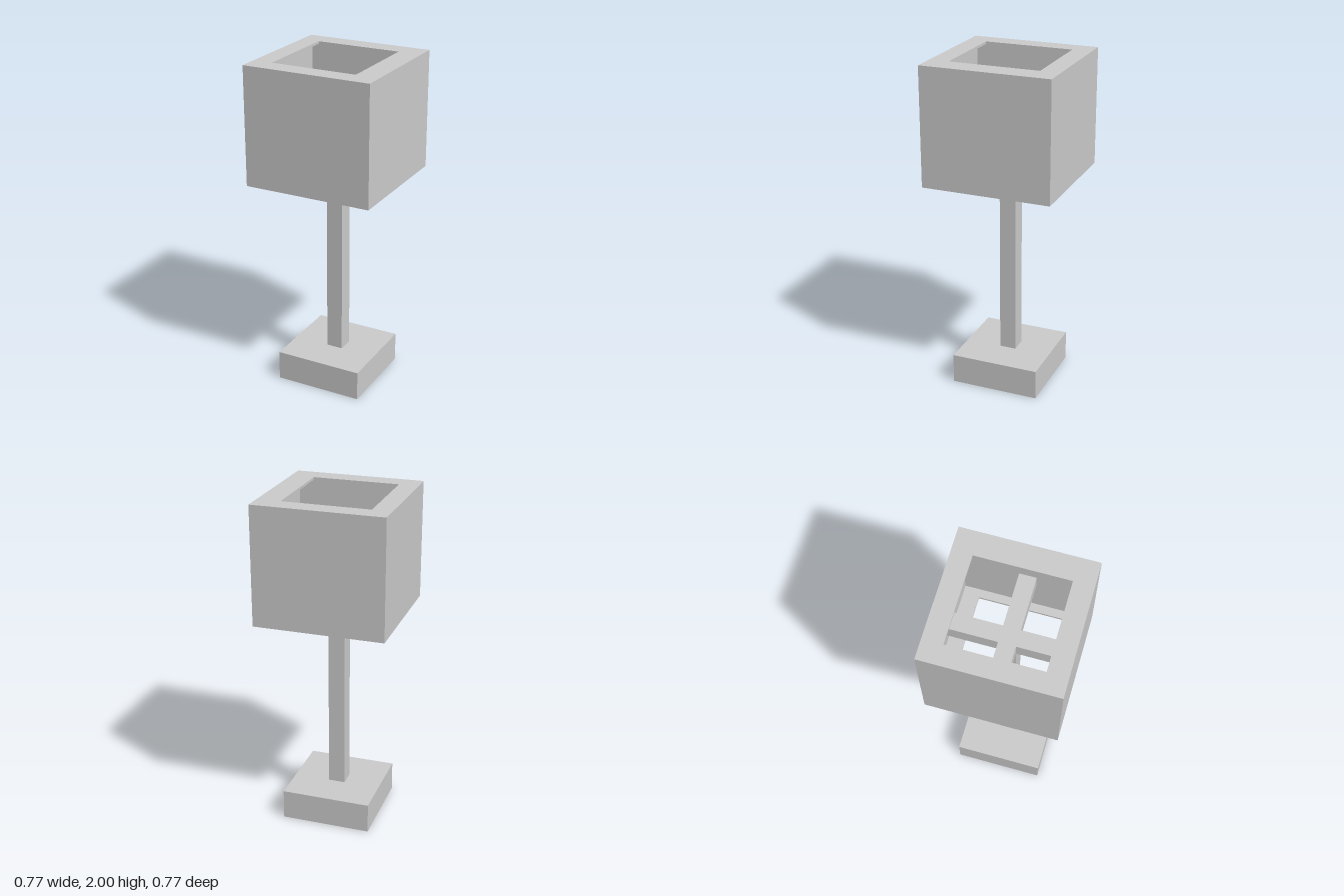
import * as THREE from 'three';

const material = new THREE.MeshStandardMaterial({ color: 0xcccccc, flatShading: true });

// Box given by its lower and upper limits
function box(name, [x0, y0, z0], [x1, y1, z1]) {
  const mesh = new THREE.Mesh(new THREE.BoxGeometry(x1 - x0, y1 - y0, z1 - z0), material);
  mesh.name = name;
  mesh.position.set((x0 + x1) / 2, (y0 + y1) / 2, (z0 + z1) / 2);
  return mesh;
}

// Flat square frame with a rectangular opening, lying in the xz plane
function rim(name, half, x0, x1, zHalf, y, thickness) {
  const rect = (Type, a, b, c, d) => new Type([[a, c], [b, c], [b, d], [a, d]].map(p => new THREE.Vector2(...p)));
  const shape = rect(THREE.Shape, -half, half, -half, half);
  shape.holes.push(rect(THREE.Path, x0, x1, -zHalf, zHalf));
  const geometry = new THREE.ExtrudeGeometry(shape, { depth: thickness, bevelEnabled: false });
  geometry.rotateX(-Math.PI / 2);
  const mesh = new THREE.Mesh(geometry, material);
  mesh.name = name;
  mesh.position.y = y;
  return mesh;
}

export function createModel() {
  const model = new THREE.Group();
  model.name = 'lamp';

  // Base and post
  model.add(box('base', [-0.268, 0, -0.268], [0.268, 0.18, 0.268]));
  model.add(box('post', [-0.05, 0.18, -0.05], [0.05, 1.6, 0.05]));

  // Hollow shade: thin walls between a top and a bottom rim
  const H = 0.385, W = 0.37, bottom = 1.295, top = 2, t = 0.015;
  const shade = new THREE.Group();
  shade.name = 'shade';
  for (const s of [-1, 1]) {
    const a = Math.min(s * W, s * H), b = Math.max(s * W, s * H);
    shade.add(box('sideWall', [a, bottom + t, -H], [b, top - t, H]));
    shade.add(box(s > 0 ? 'frontWall' : 'backWall', [-W, bottom + t, a], [W, top - t, b]));
  }
  shade.add(rim('topRim', H, -0.27, 0.245, 0.268, top - t, t));
  shade.add(rim('bottomRim', H, -0.32, 0.32, 0.275, bottom, t));

  // Crossed bars holding the shade on the post
  shade.add(box('crossBarX', [-W, 1.557, -0.05], [W, 1.657, 0.05]));
  shade.add(box('crossBarZ', [-0.05, 1.555, -W], [0.05, 1.655, W]));
  model.add(shade);

  return model;
}
